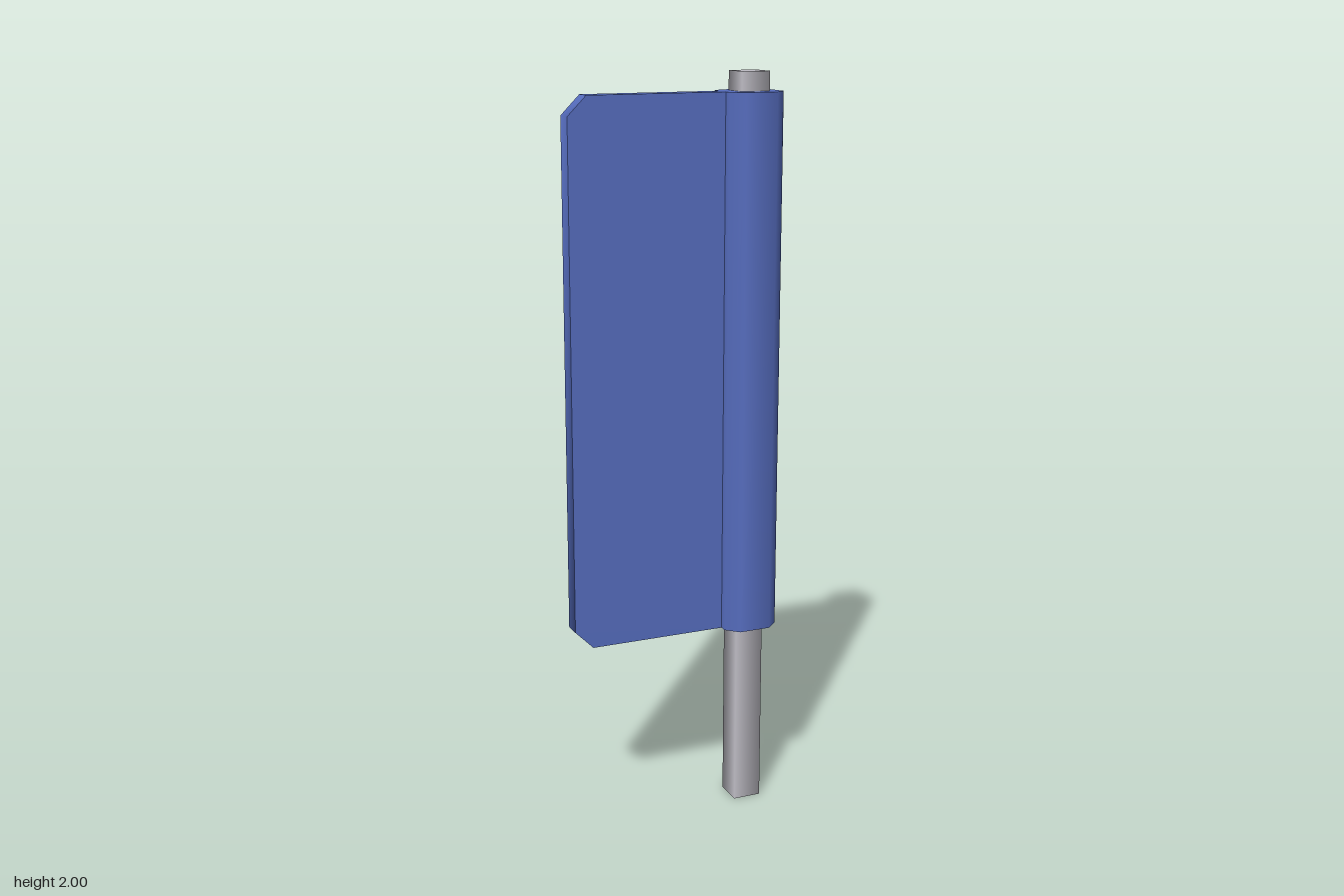
import * as THREE from 'three';
import { toCreasedNormals } from 'three/addons/utils/BufferGeometryUtils.js';

const BOTTOM = 0.515, TOP = 1.95, AXIS_X = 0.212;

export function createModel() {
  const blue = new THREE.MeshStandardMaterial({ color: 0x566dbf });
  blue.name = 'blue paint';
  const steel = new THREE.MeshStandardMaterial({ color: 0xbebcc4 });
  steel.name = 'pale steel';

  const group = new THREE.Group();
  const add = (name, geometry, material, x = 0, y = 0, z = 0) => {
    const mesh = new THREE.Mesh(geometry, material);
    mesh.name = name;
    mesh.position.set(x, y, z);
    group.add(mesh);
  };

  // Square pole with softly shaded sides
  const pole = new THREE.CylinderGeometry(0.039 * Math.SQRT2, 0.039 * Math.SQRT2, 2, 4, 1, false, Math.PI / 4);
  add('pole', pole, steel, AXIS_X, 1, 0);

  // Eight-sided sleeve: wide flats with shorter corner cuts
  const sleeve = new THREE.CylinderGeometry(0.076, 0.076, TOP - BOTTOM, 8, 1, false, Math.PI / 8);
  const p = sleeve.attributes.position;
  for (let i = 0; i < p.count; i++) {
    const x = p.getX(i), z = p.getZ(i);
    if (Math.hypot(x, z) < 0.01) continue;
    const wideX = Math.abs(x) > Math.abs(z);
    p.setX(i, Math.sign(x) * (wideX ? 0.076 : 0.044));
    p.setZ(i, Math.sign(z) * (wideX ? 0.044 : 0.076));
  }
  add('sleeve', sleeve, blue, AXIS_X, (TOP + BOTTOM) / 2, 0);

  // Flat blade with its two outer corners cut off
  const outer = -0.288, inner = 0.15, cut = 0.05, thickness = 0.048;
  const outline = new THREE.Shape([
    [inner, BOTTOM], [inner, TOP], [outer + cut, TOP],
    [outer, TOP - cut], [outer, BOTTOM + cut], [outer + cut, BOTTOM],
  ].map(([x, y]) => new THREE.Vector2(x, y)));
  const blade = new THREE.ExtrudeGeometry(outline, { depth: thickness, bevelEnabled: false });
  add('blade', toCreasedNormals(blade, 0.9), blue, 0, 0, -thickness / 2);

  return group;
}
